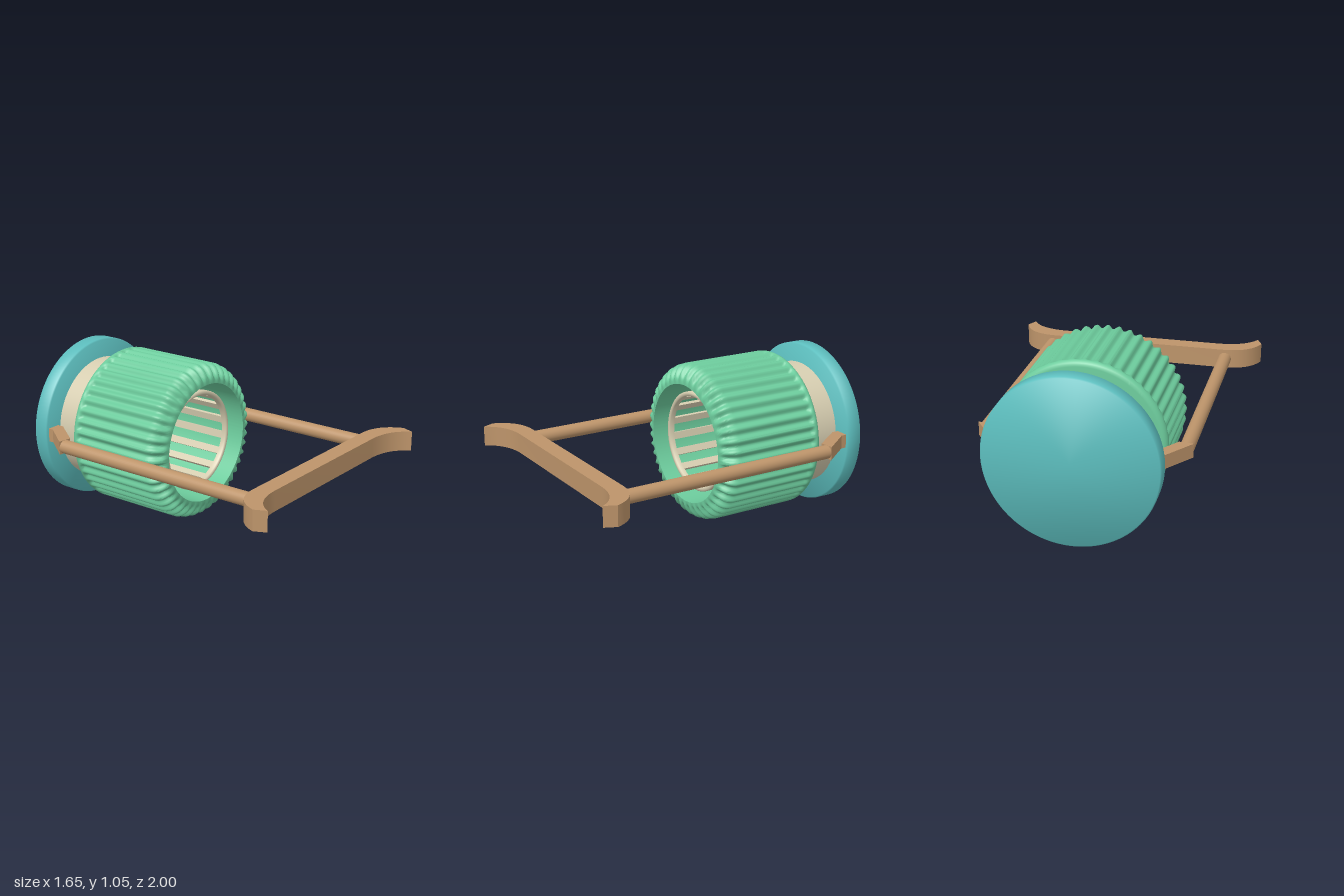
import * as THREE from 'three';
import { toCreasedNormals } from 'three/addons/utils/BufferGeometryUtils.js';

const AXIS_Y = 0.523;
const RIDGES = 44;

const mat = (name, color) => {
  const m = new THREE.MeshStandardMaterial({ color });
  m.name = name;
  return m;
};

export function createModel() {
  const green = mat('green', 0x6ccb9c);
  const teal = mat('teal', 0x5dbfbf);
  const beige = mat('beige', 0xd6cdb0);
  const brown = mat('brown', 0xbd946a);

  const model = new THREE.Group();
  model.name = 'model';
  const add = (name, geometry, material, parent = model) => {
    const mesh = new THREE.Mesh(geometry, material);
    mesh.name = name;
    parent.add(mesh);
    return mesh;
  };

  // Turned parts share one axis along z
  const turned = new THREE.Group();
  turned.name = 'turnedParts';
  turned.position.y = AXIS_Y;
  model.add(turned);

  // Profile points are [radius, z], outside surface running forward
  const lathe = (points, segments, deform) => {
    const g = new THREE.LatheGeometry(points.map(([r, z]) => new THREE.Vector2(r, z)), segments);
    if (deform) deform(g.attributes.position);
    g.rotateX(Math.PI / 2);
    return toCreasedNormals(g, 0.9);
  };
  const arc = (r, z, radius, from, to, steps) =>
    Array.from({ length: steps + 1 }, (_, i) => {
      const a = from + ((to - from) * i) / steps;
      return [r + radius * Math.cos(a), z + radius * Math.sin(a)];
    });

  // Ribbed drum: rounded shell, open at the front, with a stepped floor
  const drumProfile = [
    [0.3, -0.7],
    ...arc(0.465, -0.665, 0.035, -Math.PI / 2, 0, 5),
    [0.5, -0.655], [0.5, -0.645], [0.5, -0.63], [0.5, -0.35],
    ...arc(0.4, -0.11, 0.1, 0, Math.PI / 2, 10),
    [0.38, -0.01], [0.38, -0.66], [0.3, -0.66], [0.3, -0.7],
  ];
  const { smoothstep, clamp } = THREE.MathUtils;
  const carveRidges = (p) => {
    for (let i = 0; i < p.count; i++) {
      const x = p.getX(i), z = p.getY(i), y = p.getZ(i);
      const r = Math.hypot(x, y);
      const weight = smoothstep(r, 0.385, 0.47) * smoothstep(z, -0.668, -0.64);
      const depth = 0.011 * weight * (1 - Math.cos(RIDGES * Math.atan2(x, y)));
      const k = (r - depth) / r;
      p.setXYZ(i, x * k, z - depth * clamp((z + 0.11) / 0.1, 0, 1), y * k);
    }
  };
  add('ribbedDrum', lathe(drumProfile, RIDGES * 8, carveRidges), green, turned);

  // Neck between the drum and the base
  add('neck', lathe([[0, -0.9], [0.4, -0.9], [0.4, -0.68], [0, -0.68]], 96), beige, turned);

  // Base disc with a fine bevel
  add('baseDisc', lathe([
    [0, -1], [0.515, -1], [0.523, -0.992], [0.523, -0.903], [0.515, -0.895], [0, -0.895],
  ], 128), teal, turned);

  // Inner cage: front ring and slats
  const cage = new THREE.Group();
  cage.name = 'innerCage';
  turned.add(cage);
  add('cageRing', lathe([
    [0.292, -0.115], [0.32, -0.115], [0.32, -0.085], [0.312, -0.078],
    [0.298, -0.078], [0.292, -0.085], [0.292, -0.115],
  ], 96), beige, cage);
  const slatGeometry = new THREE.BoxGeometry(0.02, 0.045, 0.58);
  const SLATS = 18;
  for (let i = 0; i < SLATS; i++) {
    const a = ((i + 0.5) / SLATS) * Math.PI * 2;
    const slat = add('cageSlat', slatGeometry, beige, cage);
    slat.position.set(0.306 * Math.cos(a), 0.306 * Math.sin(a), -0.39);
    slat.rotation.z = a;
  }

  // Plan shapes are drawn as (x, -z) and extruded upwards
  const plate = (shape, height) => {
    const g = new THREE.ExtrudeGeometry(shape, { depth: height, bevelEnabled: false, curveSegments: 16 });
    g.translate(0, 0, -height / 2);
    g.rotateX(-Math.PI / 2);
    return toCreasedNormals(g, 0.5);
  };

  // Side rods with cranked brackets that reach the base
  for (const side of [1, -1]) {
    const name = side > 0 ? 'left' : 'right';
    const rod = new THREE.CylinderGeometry(0.043, 0.043, 1.45, 32);
    rod.rotateX(Math.PI / 2);
    add(name + 'Rod', rod, brown).position.set(side * 0.598, 0.526, 0.055);

    const outline = [
      [0.641, -0.67], [0.555, -0.66], [0.418, -0.852],
      [0.418, -0.897], [0.503, -0.897], [0.503, -0.86],
    ];
    const shape = new THREE.Shape(outline.map(([x, z]) => new THREE.Vector2(side * x, -z)));
    add(name + 'Bracket', plate(shape, 0.086), brown).position.y = 0.526;
  }

  // Handle bar with ends sweeping forward
  const bar = new THREE.Shape();
  bar.moveTo(-0.6, -0.76);
  bar.lineTo(0.6, -0.76);
  bar.quadraticCurveTo(0.77, -0.77, 0.823, -0.925);
  bar.lineTo(0.79, -1);
  bar.quadraticCurveTo(0.72, -0.87, 0.53, -0.868);
  bar.lineTo(-0.53, -0.868);
  bar.quadraticCurveTo(-0.72, -0.87, -0.79, -1);
  bar.lineTo(-0.823, -0.925);
  bar.quadraticCurveTo(-0.77, -0.77, -0.6, -0.76);
  add('handleBar', plate(bar, 0.126), brown).position.y = 0.528;

  return model;
}
